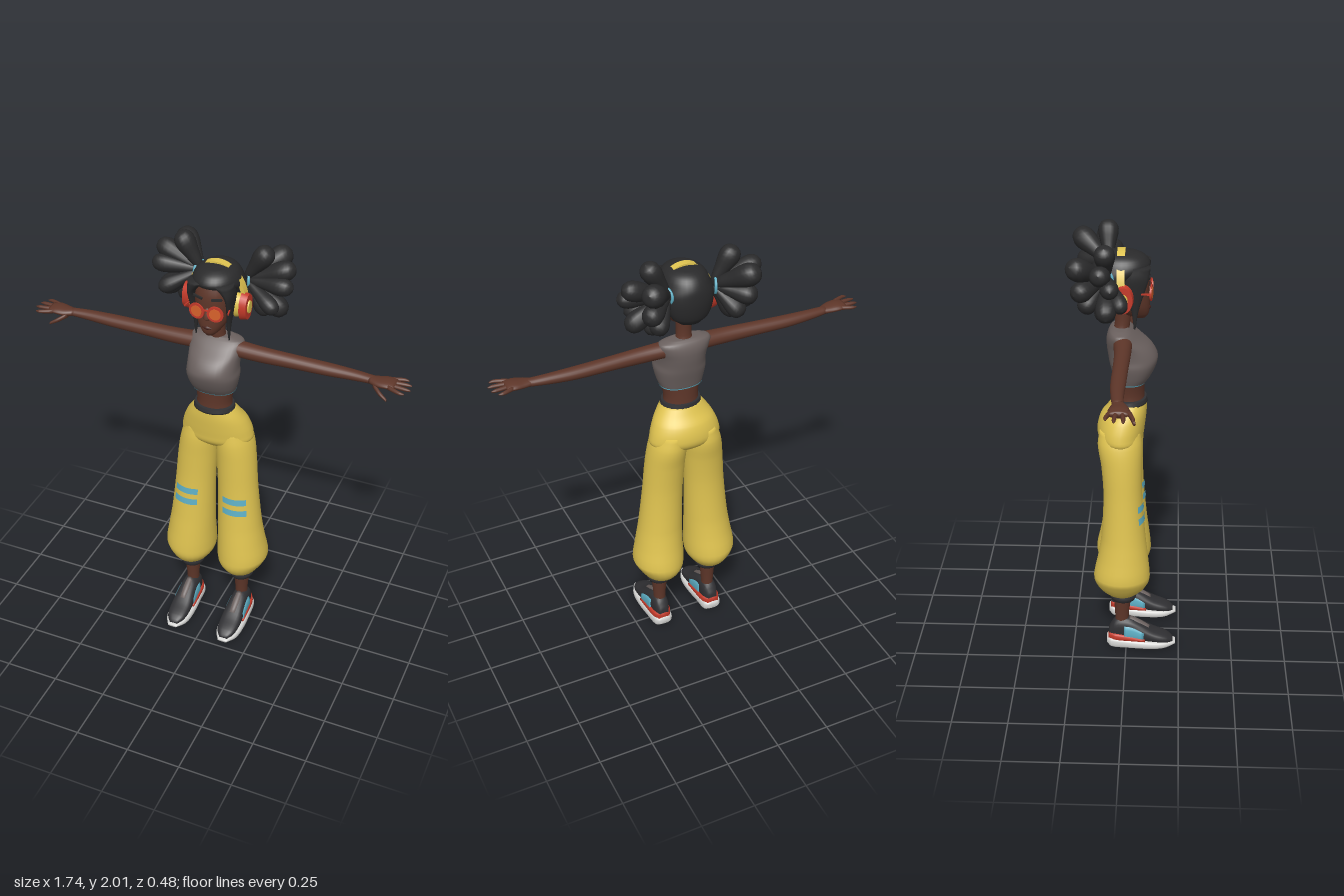
import * as THREE from 'three';
import { mergeVertices } from 'three/addons/utils/BufferGeometryUtils.js';

const mat = (name, color) => {
  const m = new THREE.MeshStandardMaterial({ color });
  m.name = name;
  return m;
};

// Smooth interpolation of cross-sections [t, a0, a1, b0, b1] at position t
function sectionAt(rings, t) {
  let i = 0;
  while (i < rings.length - 2 && t > rings[i + 1][0]) i++;
  const p = rings[i], q = rings[i + 1], o = rings[i - 1] || p, r = rings[i + 2] || q;
  const h = q[0] - p[0], u = (t - p[0]) / h;
  return [1, 2, 3, 4].map((k) => {
    const m0 = (q[k] - o[k]) / (q[0] - o[0]) * h, m1 = (r[k] - p[k]) / (r[0] - p[0]) * h;
    return (2 * u ** 3 - 3 * u * u + 1) * p[k] + (u ** 3 - 2 * u * u + u) * m0 +
      (3 * u * u - 2 * u ** 3) * q[k] + (u ** 3 - u * u) * m1;
  });
}

// Skin over oval sections along an axis: y (a=x, b=z), x (a=z, b=y), z (a=y, b=x).
// from/to and start/end cut out a patch; grow pushes it off the surface.
function loft(rings, { axis = 'y', sides = 24, sub = 4, power = 1, from, to, start = 0, end, grow = 0 } = {}) {
  const pos = [], idx = [], ts = [], open = end !== undefined;
  if (from !== undefined) for (let i = 0; i <= sub; i++) ts.push(from + (to - from) * i / sub);
  else {
    rings.forEach((r, i) => {
      if (i) for (let k = 1; k <= sub; k++) ts.push(rings[i - 1][0] + (r[0] - rings[i - 1][0]) * k / sub);
      else ts.push(r[0]);
    });
  }
  const put = (t, a, b) => pos.push(...(axis === 'y' ? [a, t, b] : axis === 'x' ? [t, b, a] : [b, a, t]));
  const bend = (v) => Math.sign(v) * Math.abs(v) ** power;
  const n = open ? sides + 1 : sides, span = open ? end - start : Math.PI * 2;
  ts.forEach((t) => {
    const [a0, a1, b0, b1] = sectionAt(rings, t);
    for (let j = 0; j < n; j++) {
      const w = start + span * j / sides;
      put(t, (a0 + a1) / 2 + ((a1 - a0) / 2 + grow) * bend(Math.cos(w)),
        (b0 + b1) / 2 + ((b1 - b0) / 2 + grow) * bend(Math.sin(w)));
    }
  });
  for (let i = 0; i < ts.length - 1; i++) for (let j = 0; j < sides; j++) {
    const a = i * n + j, b = i * n + (j + 1) % n;
    idx.push(a, a + n, b, b, a + n, b + n);
  }
  if (!open) [0, ts.length - 1].forEach((i, last) => {
    const [a0, a1, b0, b1] = sectionAt(rings, ts[i]), c = pos.length / 3;
    put(ts[i], (a0 + a1) / 2, (b0 + b1) / 2);
    for (let j = 0; j < n; j++) {
      const a = i * n + j, b = i * n + (j + 1) % n;
      idx.push(c, last ? b : a, last ? a : b);
    }
  });
  const g = new THREE.BufferGeometry();
  g.setAttribute('position', new THREE.Float32BufferAttribute(pos, 3));
  g.setIndex(idx);
  g.computeVertexNormals();
  return g;
}

// Symmetric section: [y, half width, back, front]
const sym = (rows) => rows.map(([y, w, b, f]) => [y, -w, w, b, f]);

function mirrored(geo) {
  const g = geo.index ? geo.clone() : mergeVertices(geo);
  g.scale(-1, 1, 1);
  const ix = g.index.array;
  for (let i = 0; i < ix.length; i += 3) [ix[i], ix[i + 1]] = [ix[i + 1], ix[i]];
  return g;
}

export function createModel() {
  const skin = mat('skin', 0x5e3629), hair = mat('hair', 0x2a2a2b), cloth = mat('grey cloth', 0x6a605e);
  const yellow = mat('yellow', 0xdfc350), black = mat('black fabric', 0x303033), teal = mat('teal', 0x5fb0c6);
  const red = mat('red', 0xc43a2a), white = mat('white', 0xd4d4d2), orange = mat('orange', 0xd8622c);
  const lip = mat('lip', 0x47241f);
  const group = new THREE.Group();
  const add = (name, geo, m) => {
    const mesh = new THREE.Mesh(geo, m);
    mesh.name = name;
    group.add(mesh);
  };
  const pair = (name, geo, m) => {
    add(name + 'Left', geo, m);
    add(name + 'Right', mirrored(geo), m);
  };

  // Torso, neck and cropped top
  add('midriff', loft(sym([[1.22, .086, -.06, .08], [1.28, .08, -.056, .076], [1.36, .094, -.055, .08]])), skin);
  const topRings = sym([[1.335, .097, -.058, .084], [1.37, .108, -.066, .108], [1.42, .117, -.078, .13],
    [1.455, .113, -.084, .134], [1.5, .114, -.09, .108], [1.54, .12, -.09, .06], [1.572, .116, -.078, .022], [1.586, .07, -.06, .002]]);
  add('croppedTop', loft(topRings, { power: .88, sides: 32 }), cloth);
  add('topHem', loft(topRings, { power: .88, sides: 32, from: 1.335, to: 1.341, sub: 1, end: Math.PI * 2, grow: .002 }), teal);
  add('neck', loft(sym([[1.55, .045, -.07, .005], [1.6, .034, -.055, .012], [1.69, .036, -.06, .02]])), skin);

  // Trousers
  add('hips', loft(sym([[1.02, .09, -.08, .03], [1.06, .163, -.125, .07], [1.1, .166, -.135, .078], [1.16, .146, -.12, .085],
    [1.2, .122, -.09, .088], [1.24, .092, -.065, .088]]), { sides: 32 }), yellow);
  const legRings = [[.295, .065, .19, -.09, .05], [.32, .045, .21, -.12, .08], [.36, .02, .236, -.145, .105],
    [.4, .013, .253, -.15, .11], [.5, .014, .238, -.13, .1], [.6, .014, .222, -.115, .088], [.8, .011, .2, -.105, .072],
    [.95, .003, .187, -.115, .07], [1.05, 0, .17, -.13, .07], [1.12, .02, .14, -.12, .06]];
  pair('trouserLeg', loft(legRings, { sides: 28 }), yellow);
  add('waistband', loft(sym([[1.232, .096, -.068, .091], [1.256, .09, -.064, .086]])), black);
  for (const [y0, y1] of [[.683, .715], [.742, .774]])
    pair('kneePatch', loft(legRings, { from: y0, to: y1, start: .85, end: 2.05, sides: 12, sub: 2, grow: .004 }), teal);

  // Ankles and cuffs
  pair('ankle', loft([[.08, .1, .158, -.055, .015], [.16, .1, .158, -.052, .012], [.28, .09, .168, -.06, .025]]), skin);
  pair('cuff', loft([[.262, .075, .182, -.07, .042], [.28, .068, .19, -.076, .048], [.3, .072, .186, -.074, .046]]), black);

  // Shoes
  pair('shoeSole', loft([[-.092, .02, .05, .105, .16], [-.07, .002, .058, .086, .178], [0, 0, .054, .08, .186],
    [.1, 0, .046, .073, .192], [.18, .003, .04, .08, .184], [.235, .018, .03, .11, .155]], { axis: 'z', power: .65 }), white);
  pair('shoeUpper', loft([[-.082, .03, .1, .11, .155], [-.05, .03, .148, .094, .168], [.01, .03, .155, .09, .174],
    [.06, .03, .132, .086, .178], [.13, .03, .09, .082, .182], [.19, .026, .066, .09, .174], [.222, .025, .045, .112, .152]],
  { axis: 'z', power: .8 }), black);
  pair('shoePanel', loft([[-.01, .04, .132, .086, .179], [.03, .04, .128, .084, .181], [.085, .04, .1, .082, .184]],
    { axis: 'z', power: .65 }), teal);
  pair('shoeStripe', loft([[-.083, .04, .08, .104, .161], [-.05, .04, .082, .086, .178], [.02, .04, .074, .08, .184],
    [.09, .04, .06, .078, .187]], { axis: 'z', power: .6 }), red);
  pair('shoeTongue', loft([[.015, .1, .163, .112, .152], [.06, .08, .14, .11, .154], [.11, .06, .108, .115, .149]], { axis: 'z' }), cloth);

  // Arms and hands
  pair('arm', loft([[.07, -.06, .025, 1.5, 1.572], [.2, -.05, .022, 1.497, 1.566], [.35, -.05, .016, 1.5, 1.561],
    [.5, -.052, .012, 1.502, 1.557], [.62, -.045, .008, 1.509, 1.554], [.71, -.035, .01, 1.517, 1.55]], { axis: 'x' }), skin);
  pair('palm', loft([[.69, -.034, .01, 1.518, 1.549], [.73, -.043, .03, 1.518, 1.552], [.77, -.05, .036, 1.522, 1.555],
    [.805, -.046, .032, 1.526, 1.55]], { axis: 'x' }), skin);
  [[.028, .05, .855], [.007, .014, .872], [-.016, -.022, .868], [-.038, -.055, .848]].forEach(([z0, z1, tip]) =>
    pair('finger', loft([[.78, z0 - .01, z0 + .01, 1.529, 1.549], [tip - .02, z1 - .008, z1 + .008, 1.53, 1.546],
      [tip, z1 - .003, z1 + .003, 1.534, 1.54]], { axis: 'x', sides: 10 }), skin));
  pair('thumb', loft([[.715, .002, .026, 1.515, 1.54], [.75, .03, .05, 1.498, 1.52], [.785, .048, .06, 1.485, 1.498]],
    { axis: 'x', sides: 10 }), skin);

  // Head and face
  add('head', loft(sym([[1.63, .02, .03, .08], [1.65, .042, -.02, .093], [1.69, .066, -.06, .097], [1.75, .08, -.09, .094],
    [1.82, .086, -.11, .092], [1.88, .076, -.1, .075]]), { sides: 32, power: .9 }), skin);
  add('nose', loft(sym([[1.715, .012, .08, .1], [1.724, .016, .08, .111], [1.77, .007, .08, .098]]), { sides: 12 }), skin);
  add('lips', loft([[-.022, .09, .094, 1.674, 1.678], [0, .085, .102, 1.667, 1.685], [.022, .09, .094, 1.674, 1.678]],
    { axis: 'x', sides: 12 }), lip);
  pair('eyebrow', new THREE.BoxGeometry(.045, .009, .008).rotateY(.25).rotateZ(.12).translate(.043, 1.815, .09), hair);

  // Round glasses
  const disc = (r, z) => new THREE.CylinderGeometry(r, r, .006, 28).rotateX(Math.PI / 2).rotateY(.12).translate(.042, 1.755, z);
  pair('glassesRim', disc(.036, .104), red);
  pair('glassesLens', disc(.025, .1065), orange);
  add('glassesBridge', new THREE.BoxGeometry(.03, .006, .006).translate(0, 1.765, .106), red);
  pair('glassesTemple', new THREE.BoxGeometry(.005, .008, .1).rotateY(.2).translate(.088, 1.765, .052), red);

  // Hair cap and face-framing strands
  add('hairCap', loft(sym([[1.69, .05, -.12, -.05], [1.72, .084, -.14, -.03], [1.78, .105, -.154, 0], [1.83, .112, -.156, .045],
    [1.865, .106, -.15, .098], [1.9, .088, -.128, .084], [1.92, .058, -.095, .05], [1.928, .02, -.05, .01]]), { sides: 32 }), hair);
  pair('hairStrand', loft([[1.6, .074, .079, .03, .038], [1.68, .066, .086, .02, .05], [1.78, .07, .098, -.01, .08],
    [1.83, .06, .103, -.01, .095], [1.875, .015, .1, 0, .102]], { sides: 14 }), hair);

  // Pigtails: teardrop lobes fanning out from a tie
  const root = new THREE.Vector3(.1, 1.84, -.085), up = new THREE.Vector3(0, 1, 0);
  const drop = new THREE.SplineCurve([[0, 0], [.42, .12], [.72, .42], [1, .74], [.72, .93], [0, 1]]
    .map(([x, y]) => new THREE.Vector2(x, y))).getPoints(16);
  drop.forEach((p) => { p.x = Math.max(p.x, 0); });
  [[.205, 2.0, -.09, .045], [.25, 1.935, -.232, .05], [.315, 1.92, -.11, .044], [.322, 1.85, -.06, .04],
    [.29, 1.715, -.08, .045], [.2, 1.68, -.1, .038], [.25, 1.81, -.215, .045], [.27, 1.75, -.01, .036],
    [.2, 1.72, -.185, .042]].forEach(([x, y, z, r]) => {
    const dir = new THREE.Vector3(x, y, z).sub(root), len = dir.length();
    const turn = new THREE.Quaternion().setFromUnitVectors(up, dir.normalize());
    pair('pigtailLobe', new THREE.LatheGeometry(drop, 14).scale(r, len, r).applyQuaternion(turn).translate(...root), hair);
  });
  pair('hairTie', new THREE.TorusGeometry(.036, .006, 8, 24).rotateY(Math.PI / 2 + .35).translate(.112, 1.84, -.092), teal);

  // Headphones
  const arch = new THREE.Shape();
  arch.absellipse(0, 1.76, .134, .176, 0, Math.PI, false);
  arch.absellipse(0, 1.76, .117, .16, Math.PI, 0, true);
  add('headband', new THREE.ExtrudeGeometry(arch, { depth: .034, bevelEnabled: false, curveSegments: 32 }).translate(0, 0, -.042), yellow);
  const cup = (r, w, x) => new THREE.CylinderGeometry(r * .9, r, w, 28).rotateZ(-Math.PI / 2).scale(1, 1.4, 1).translate(x, 1.752, -.015);
  pair('earCushion', cup(.04, .03, .104), yellow);
  pair('earCup', cup(.046, .03, .13), red);
  pair('earCupDisc', cup(.022, .008, .147), yellow);
  return group;
}
